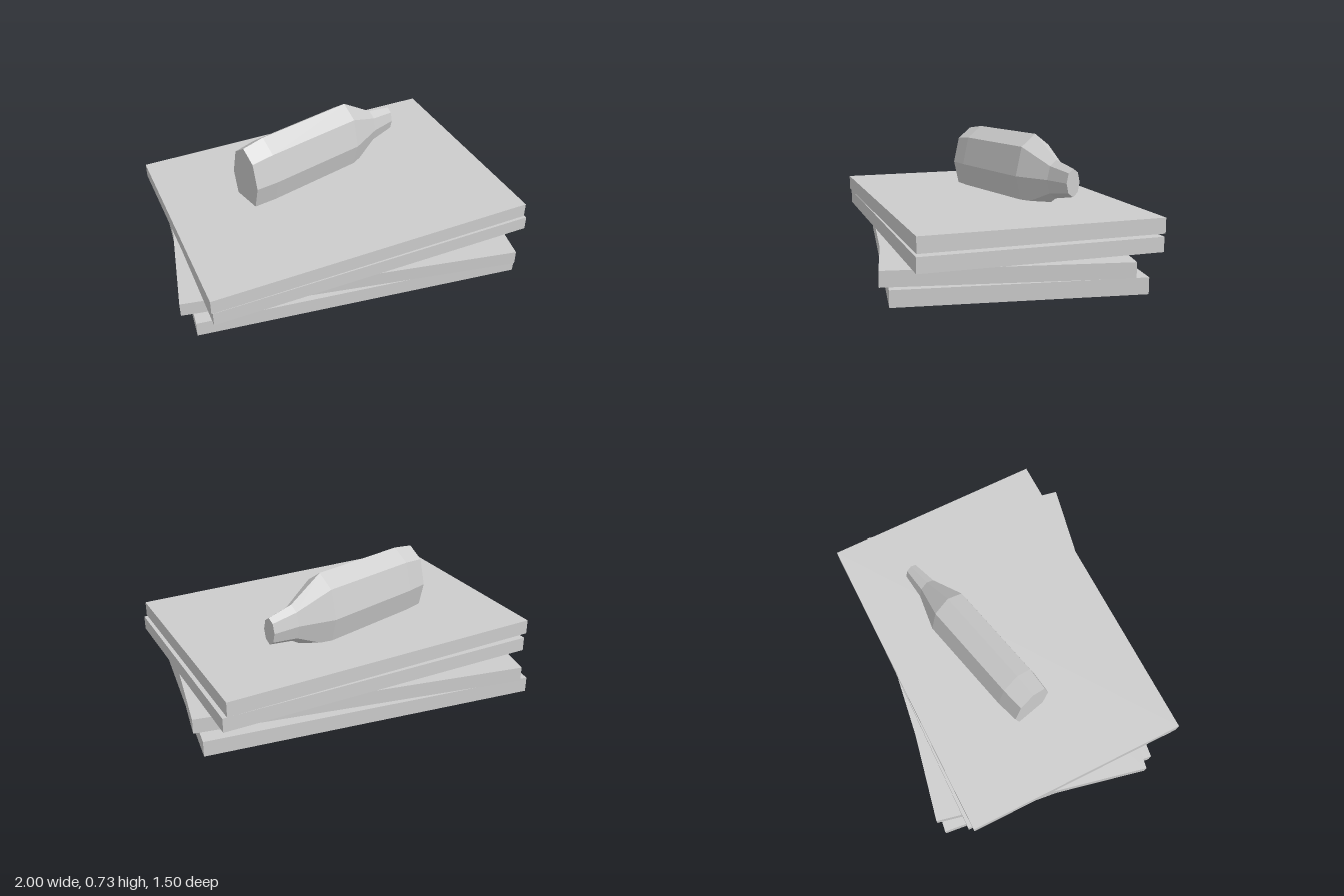
import * as THREE from 'three';

const grey = new THREE.MeshStandardMaterial({ color: 0xcccccc, flatShading: true });
grey.name = 'light grey';

// Slab from its four [x, z] corners, standing between two heights
function slab(corners, bottom, top) {
  const shape = new THREE.Shape(corners.map(([x, z]) => new THREE.Vector2(x, -z)));
  const geometry = new THREE.ExtrudeGeometry(shape, { depth: top - bottom, bevelEnabled: false });
  geometry.rotateX(-Math.PI / 2);
  geometry.translate(0, bottom, 0);
  return new THREE.Mesh(geometry, grey);
}

export function createModel() {
  const model = new THREE.Group();

  // Loose stack of four boards, each turned a little differently
  const boards = [
    { name: 'bottomBoard', y: [0, 0.087], corners: [[-0.92, -0.685], [0.94, -0.625], [0.885, 0.66], [-0.935, 0.595]] },
    { name: 'lowerMiddleBoard', y: [0.095, 0.177], corners: [[-0.86, -0.71], [0.97, -0.545], [0.86, 0.705], [-1, 0.52]] },
    { name: 'upperMiddleBoard', y: [0.19, 0.27], corners: [[-0.97, -0.555], [0.86, -0.735], [1, 0.545], [-0.86, 0.735]] },
    { name: 'topBoard', y: [0.281, 0.364], corners: [[-1, -0.53], [0.84, -0.75], [0.985, 0.54], [-0.868, 0.745]] },
  ];
  for (const { name, y, corners } of boards) {
    const board = slab(corners, ...y);
    board.name = name;
    model.add(board);
  }

  // Eight-sided flattened bottle lying on its edge, sunk into the top board
  const profile = [[0, 0], [0.21, 0], [0.23, 0.13], [0.232, 0.71], [0.107, 0.91], [0.077, 1.06], [0, 1.06]]
    .map(([r, t]) => new THREE.Vector2(r, t));
  const geometry = new THREE.LatheGeometry(profile, 8);
  geometry.rotateZ(-Math.PI / 2);
  geometry.scale(1, 1, 0.57);
  const bottle = new THREE.Mesh(geometry, grey);
  bottle.name = 'bottle';
  bottle.position.set(-0.5, 0.499, -0.005);
  bottle.rotation.y = THREE.MathUtils.degToRad(20);
  model.add(bottle);

  return model;
}
